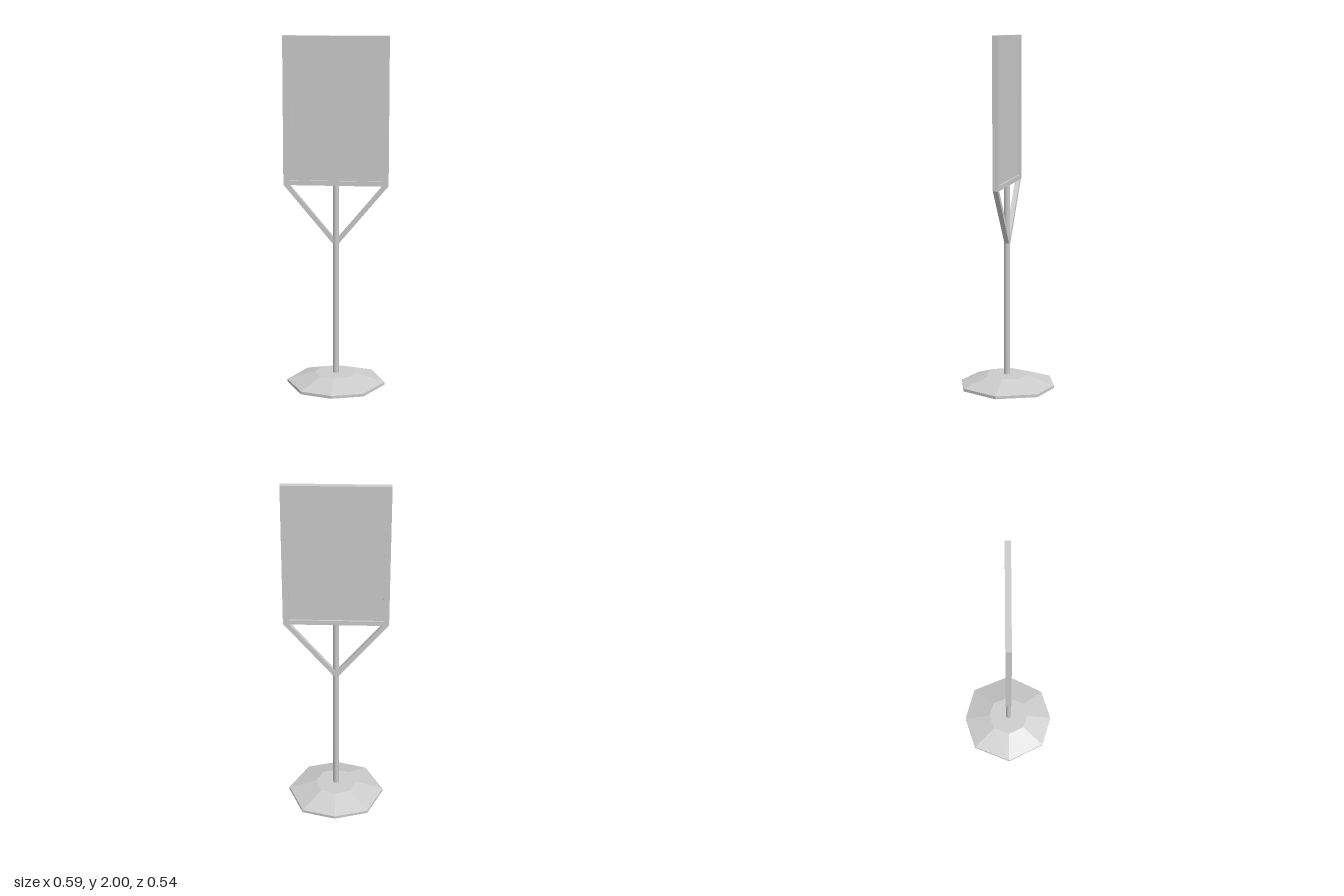
import * as THREE from 'three';

const grey = new THREE.MeshStandardMaterial({ color: 0xcccccc });
const flatGrey = new THREE.MeshStandardMaterial({ color: 0xcccccc, flatShading: true });

function addMesh(group, name, geometry, material = grey) {
  const mesh = new THREE.Mesh(geometry, material);
  mesh.name = name;
  group.add(mesh);
  return mesh;
}

const toShape = (points) => new THREE.Shape(points.map(([x, y]) => new THREE.Vector2(x, y)));

// Extrusion centred on z = 0
function extrude(shape, depth) {
  const geometry = new THREE.ExtrudeGeometry(shape, { depth, bevelEnabled: false });
  return geometry.translate(0, 0, -depth / 2);
}

// Closed solid from stacked rings of equal corner count, capped at both ends
function loft(rings) {
  const n = rings[0].points.length;
  const positions = [];
  const index = [];
  rings.forEach(({ y, points }) => points.forEach(([x, z]) => positions.push(x, y, z)));
  for (let r = 0; r < rings.length - 1; r++) {
    for (let i = 0; i < n; i++) {
      const a = r * n + i;
      const b = r * n + (i + 1) % n;
      index.push(a, b, a + n, b, b + n, a + n);
    }
  }
  const top = (rings.length - 1) * n;
  for (let i = 1; i < n - 1; i++) {
    index.push(0, i + 1, i, top, top + i, top + i + 1);
  }
  const geometry = new THREE.BufferGeometry();
  geometry.setAttribute('position', new THREE.Float32BufferAttribute(positions, 3));
  geometry.setIndex(index);
  const flat = geometry.toNonIndexed();
  flat.computeVertexNormals();
  return flat;
}

export function createModel() {
  const group = new THREE.Group();
  group.name = 'signStand';

  // Sloped octagonal foot, slightly irregular
  const outer = [[0, 0.27], [0.177, 0.215], [0.282, 0.005], [0.191, -0.217],
    [0, -0.272], [-0.191, -0.212], [-0.282, 0.005], [-0.177, 0.215]];
  const inner = [[0, 0.12], [0.078, 0.095], [0.12, 0.005], [0.085, -0.092],
    [0, -0.118], [-0.085, -0.092], [-0.12, 0.005], [-0.078, 0.095]];
  addMesh(group, 'base', loft([
    { y: 0, points: outer },
    { y: 0.016, points: outer },
    { y: 0.068, points: inner },
  ]), flatGrey);

  // Upright post
  const pole = addMesh(group, 'pole', new THREE.CylinderGeometry(0.017, 0.017, 1.11, 8));
  pole.position.set(0, 0.615, 0.002);

  // Diagonal braces from post to frame corners
  for (const side of [1, -1]) {
    const corners = [[0, 0.832], [0.017, 0.832], [0.296, 1.166], [0.262, 1.166], [0.012, 0.867], [0, 0.867]]
      .map(([x, y]) => [x * side, y]);
    addMesh(group, side > 0 ? 'leftBrace' : 'rightBrace', extrude(toShape(corners), 0.027));
  }

  // Rectangular frame with opening
  const frame = toShape([[-0.296, 1.165], [0.296, 1.165], [0.296, 2], [-0.296, 2]]);
  frame.holes.push(toShape([[-0.263, 1.192], [-0.263, 1.974], [0.263, 1.974], [0.263, 1.192]]));
  addMesh(group, 'frame', extrude(frame, 0.032));

  // Recessed sign panel
  const panel = addMesh(group, 'panel', new THREE.BoxGeometry(0.53, 0.786, 0.012));
  panel.position.y = 1.583;

  return group;
}
